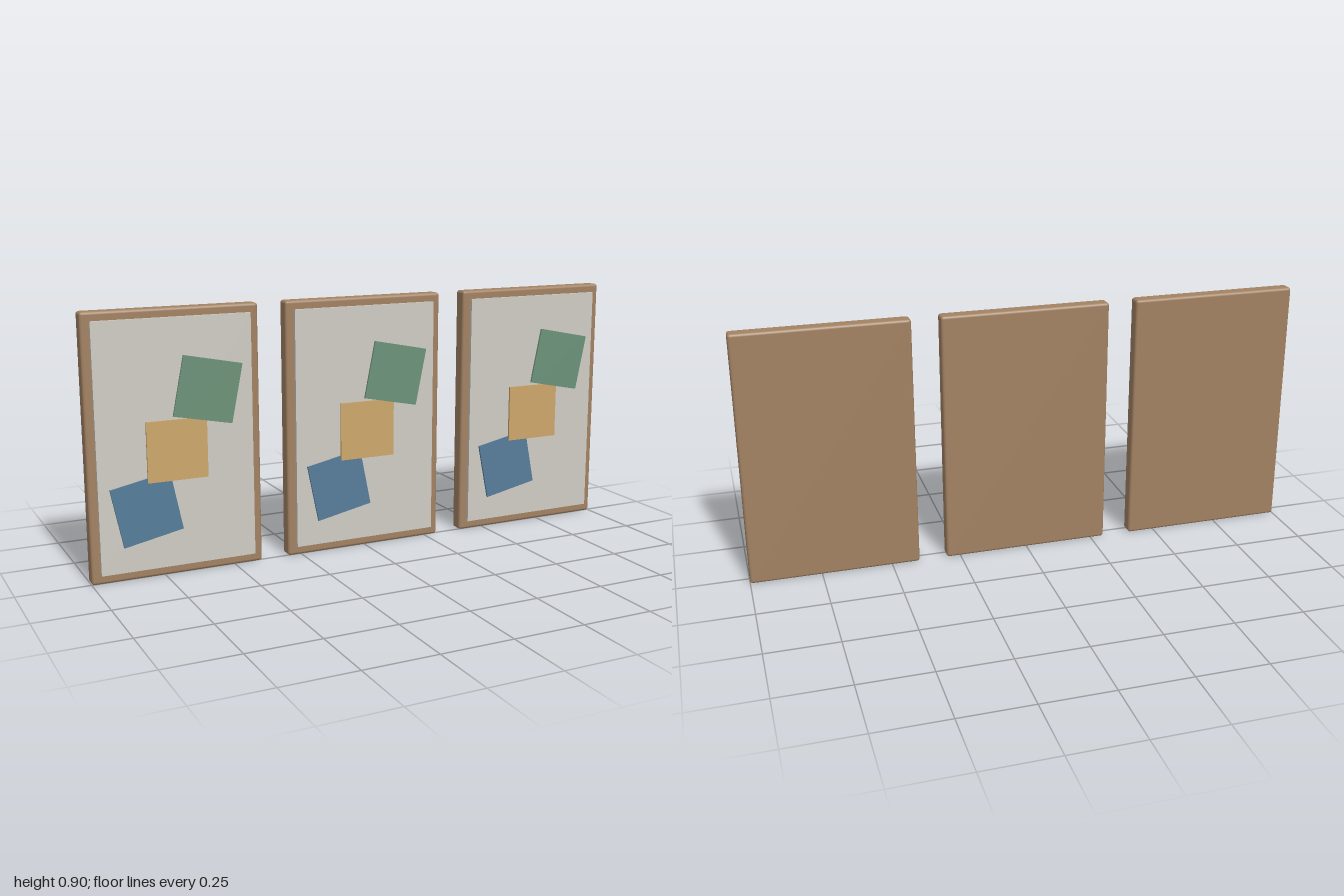
import * as THREE from 'three';
import { RoundedBoxGeometry } from 'three/addons/geometries/RoundedBoxGeometry.js';

const mat = (name, color) => {
  const m = new THREE.MeshStandardMaterial({ color });
  m.name = name;
  return m;
};

export function createModel() {
  const wood = mat('wood brown', 0xa28263);
  const paper = mat('pale grey', 0xd0ccc4);
  const blue = mat('blue', 0x567d9a);
  const ochre = mat('ochre', 0xcda76b);
  const green = mat('green', 0x6b9278);

  const backing = new RoundedBoxGeometry(0.6, 0.905, 0.052, 3, 0.01);
  const sheet = new THREE.BoxGeometry(0.54, 0.843, 0.016);
  const card = new THREE.BoxGeometry(0.208, 0.205, 0.007);

  // card: name, material, x, y, z, tilt
  const cards = [
    ['blueCard', blue, -0.112, 0.243, 0.032, 0.2],
    ['ochreCard', ochre, -0.003, 0.436, 0.036, 0],
    ['greenCard', green, 0.107, 0.63, 0.0395, -0.2],
  ];

  const add = (parent, name, geometry, material, x, y, z, tilt = 0) => {
    const mesh = new THREE.Mesh(geometry, material);
    mesh.name = name;
    mesh.position.set(x, y, z);
    mesh.rotation.z = tilt;
    parent.add(mesh);
  };

  const model = new THREE.Group();
  model.name = 'wallPanels';

  // three identical framed panels side by side
  ['right', 'middle', 'left'].forEach((side, i) => {
    const panel = new THREE.Group();
    panel.name = side + 'Panel';
    panel.position.x = (i - 1) * 0.7;
    add(panel, 'frame', backing, wood, 0, 0.4525, -0.016);
    add(panel, 'sheet', sheet, paper, 0, 0.4535, 0.013);
    for (const [name, material, x, y, z, tilt] of cards) {
      add(panel, name, card, material, x, y, z, tilt);
    }
    model.add(panel);
  });
  return model;
}
